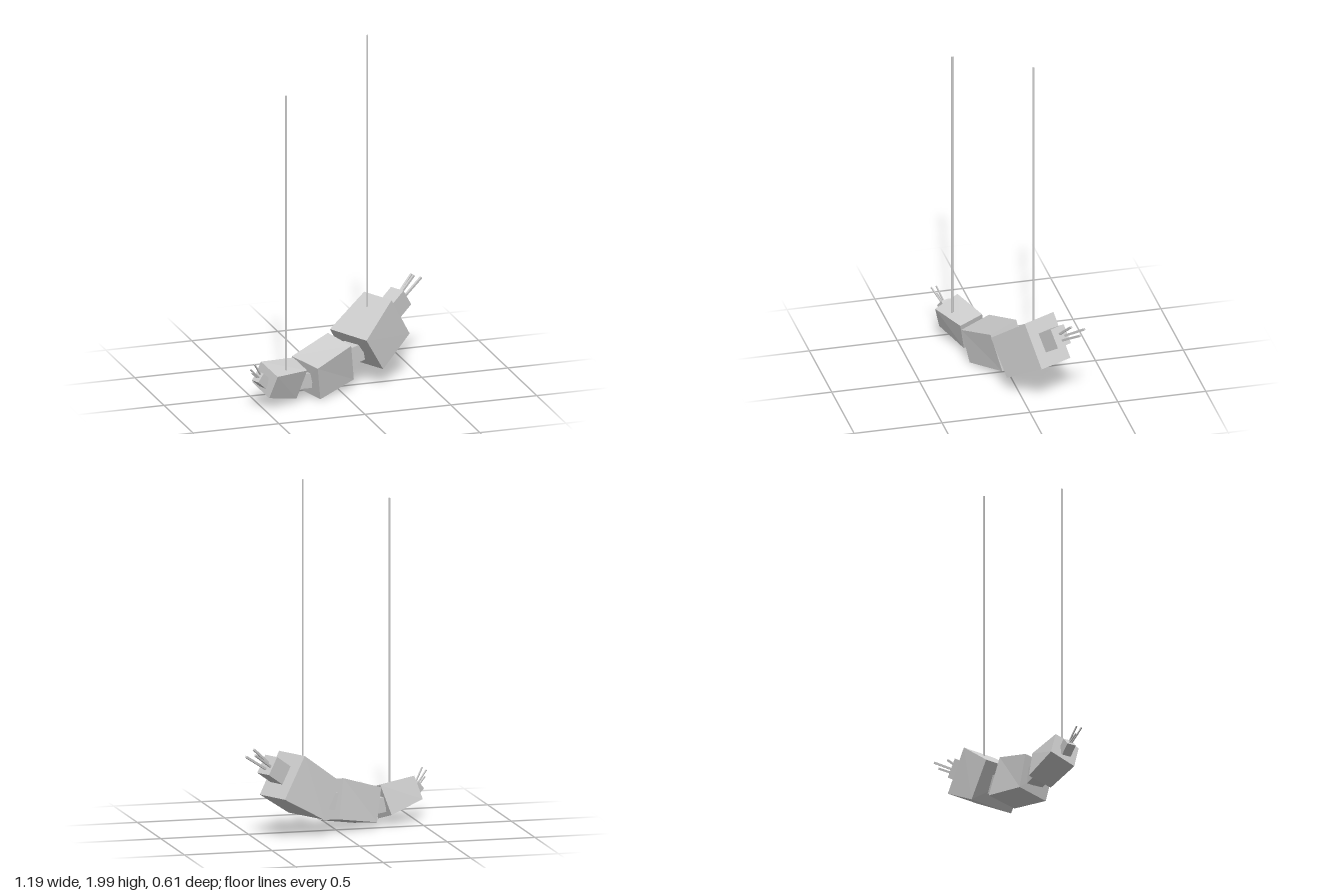
import * as THREE from 'three';

const material = new THREE.MeshStandardMaterial({ color: 0xcccccc, flatShading: true });

// Hexahedral body block between two end sections, left (-x) then right (+x).
// Section corners: top back, top front, bottom front, bottom back.
function block(name, left, right) {
  const tri = [];
  const quad = (a, b, c, d) => tri.push(...a, ...b, ...c, ...a, ...c, ...d);
  for (let i = 0; i < 4; i++) {
    const j = (i + 1) % 4;
    quad(left[i], left[j], right[j], right[i]);
  }
  quad(...right);
  quad(...[...left].reverse());
  const geometry = new THREE.BufferGeometry();
  geometry.setAttribute('position', new THREE.Float32BufferAttribute(tri, 3));
  geometry.computeVertexNormals();
  const mesh = new THREE.Mesh(geometry, material);
  mesh.name = name;
  return mesh;
}

// Square-edged bar running from one point to another
function bar(name, from, to, width, height = width) {
  const a = new THREE.Vector3(...from);
  const b = new THREE.Vector3(...to);
  const mesh = new THREE.Mesh(new THREE.BoxGeometry(width, height, a.distanceTo(b)), material);
  mesh.position.copy(a).lerp(b, 0.5);
  mesh.lookAt(b);
  mesh.name = name;
  return mesh;
}

// Thin vertical hanging rod
function hanger(name, x, z, bottom, top, radius) {
  const mesh = new THREE.Mesh(new THREE.CylinderGeometry(radius, radius, top - bottom, 8), material);
  mesh.position.set(x, (bottom + top) / 2, z);
  mesh.name = name;
  return mesh;
}

export function createModel() {
  const model = new THREE.Group();

  // Three body blocks, small to large
  model.add(
    block('smallBlock',
      [[-0.49, 0.257, 0.16], [-0.44, 0.207, 0.3], [-0.478, 0.077, 0.267], [-0.529, 0.13, 0.125]],
      [[-0.273, 0.23, 0.075], [-0.237, 0.193, 0.208], [-0.288, 0.024, 0.175], [-0.329, 0.065, 0.043]]),
    block('middleBlock',
      [[-0.268, 0.225, 0.037], [-0.179, 0.199, 0.218], [-0.15, 0.006, 0.177], [-0.237, 0.035, 0.011]],
      [[-0.027, 0.305, -0.056], [0.052, 0.273, 0.11], [0.087, 0.056, 0.052], [0.011, 0.085, -0.11]]),
    block('largeBlock',
      [[0.008, 0.3, -0.125], [0.135, 0.3, 0.129], [0.252, 0.103, 0.068], [0.119, 0.103, -0.183]],
      [[0.233, 0.469, -0.202], [0.329, 0.469, -0.014], [0.456, 0.241, -0.078], [0.363, 0.241, -0.265]]),
  );

  // Joints between the blocks, and the end pieces
  model.add(
    bar('smallJoint', [-0.29, 0.12, 0.126], [-0.2, 0.11, 0.1], 0.1, 0.085),
    bar('largeJoint', [0.02, 0.175, 0], [0.14, 0.2, -0.035], 0.11, 0.1),
    bar('largeEndPiece', [0.355, 0.362, -0.144], [0.444, 0.427, -0.19], 0.096, 0.112),
    bar('smallEndPiece', [-0.482, 0.148, 0.211], [-0.532, 0.195, 0.23], 0.055, 0.058),
  );

  // Prongs fanning out of both ends
  const largeProngs = [
    [[0.43, 0.432, -0.183], [0.53, 0.524, -0.227]],
    [[0.43, 0.42, -0.215], [0.541, 0.506, -0.3]],
    [[0.433, 0.392, -0.186], [0.585, 0.493, -0.265]],
  ];
  const smallProngs = [
    [[-0.52, 0.185, 0.235], [-0.592, 0.262, 0.284]],
    [[-0.515, 0.205, 0.23], [-0.562, 0.282, 0.262]],
    [[-0.525, 0.182, 0.222], [-0.575, 0.23, 0.255]],
  ];
  for (const [from, to] of largeProngs) model.add(bar('largeProng', from, to, 0.012));
  for (const [from, to] of smallProngs) model.add(bar('smallProng', from, to, 0.007));

  // Hanging rods
  model.add(
    hanger('smallHanger', -0.364, 0.222, 0.2, 1.81, 0.006),
    hanger('largeHanger', 0.215, -0.093, 0.4, 2, 0.005),
  );

  return model;
}
